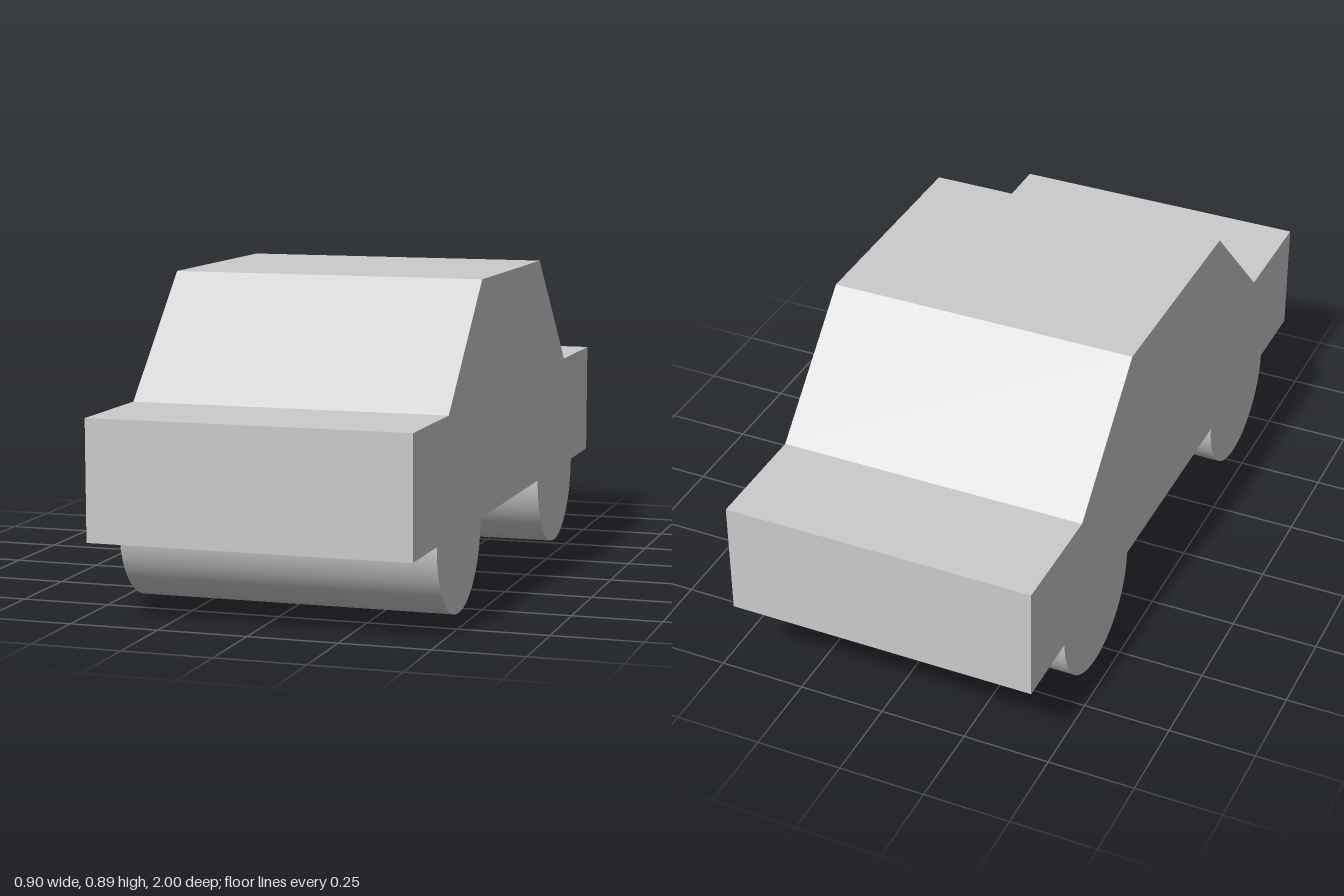
import * as THREE from 'three';

const WIDTH = 0.9;
const WHEEL_RADIUS = 0.222;
const AXLE_Z = 0.556;

export function createModel() {
  const group = new THREE.Group();
  group.name = 'car';
  const material = new THREE.MeshStandardMaterial({ color: 0xcccccc });

  // Body: side profile (z, y) extruded across the width
  const profile = [
    [-1, 0.222], [1, 0.222], [1, 0.556], [0.667, 0.556],
    [0.333, 0.889], [-0.333, 0.889], [-0.667, 0.556], [-1, 0.556],
  ];
  const shape = new THREE.Shape(profile.map(([z, y]) => new THREE.Vector2(z, y)));
  const bodyGeometry = new THREE.ExtrudeGeometry(shape, { depth: WIDTH, bevelEnabled: false });
  bodyGeometry.translate(0, 0, -WIDTH / 2).rotateY(-Math.PI / 2);
  const body = new THREE.Mesh(bodyGeometry, material);
  body.name = 'body';
  group.add(body);

  // Wheels: full-width half cylinders below the floor
  const wheelGeometry = new THREE.CylinderGeometry(
    WHEEL_RADIUS, WHEEL_RADIUS, WIDTH, 32, 1, false, Math.PI, Math.PI);
  wheelGeometry.rotateZ(Math.PI / 2);
  for (const [name, side] of [['frontWheels', 1], ['rearWheels', -1]]) {
    const wheels = new THREE.Mesh(wheelGeometry, material);
    wheels.name = name;
    wheels.position.set(0, WHEEL_RADIUS, side * AXLE_Z);
    group.add(wheels);
  }

  return group;
}
